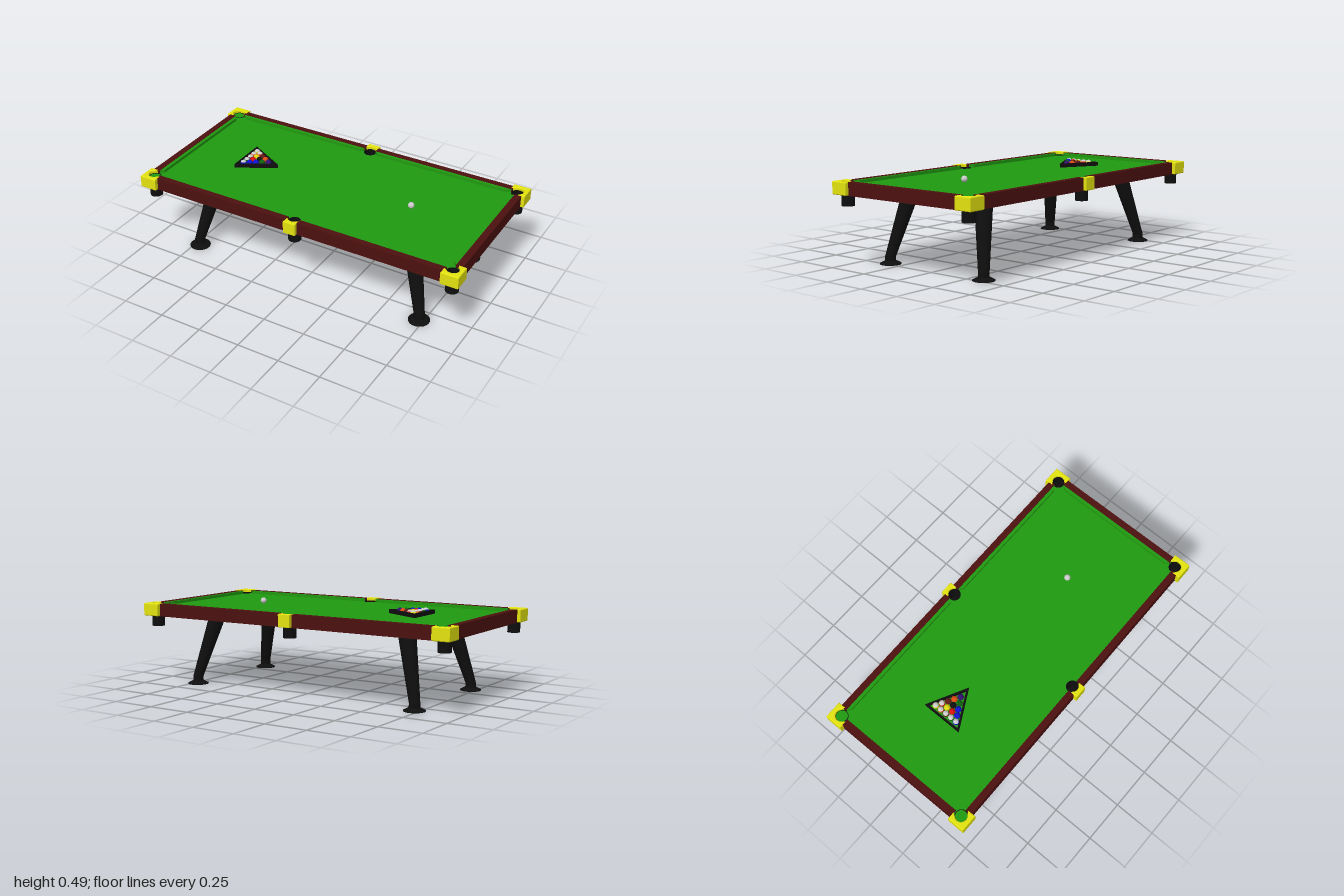
import * as THREE from 'three';

const mat = (color, side = THREE.FrontSide) => new THREE.MeshStandardMaterial({ color, side });
const red = mat(0x4d1010), green = mat(0x209a10), yellow = mat(0xe4e410);
const black = mat(0x0e0e0e), liner = mat(0x0e0e0e, THREE.DoubleSide), white = mat(0xdddddd);

const TOP = 0.475, BOTTOM = 0.4, CLOTH = 0.455;
const POCKET_R = 0.034, POCKET_Z = 0.43, POCKET_X = 0.938;
const pockets = [];
for (const x of [-POCKET_X, 0, POCKET_X]) for (const z of [-POCKET_Z, POCKET_Z]) pockets.push([x, z]);
const quadrants = [[1, 1], [-1, 1], [1, -1], [-1, -1]];

function add(parent, name, geometry, material, x = 0, y = 0, z = 0) {
  const mesh = new THREE.Mesh(geometry, material);
  mesh.name = name;
  mesh.position.set(x, y, z);
  parent.add(mesh);
  return mesh;
}

// Upright prism from an (x, z) outline between two heights, with optional rounded edges
function prism(points, y0, y1, holes = [], bevel = 0) {
  const shape = new THREE.Shape(points.map(([x, z]) => new THREE.Vector2(x, z)));
  shape.holes.push(...holes);
  const geometry = new THREE.ExtrudeGeometry(shape, {
    depth: y1 - y0 - 2 * bevel, bevelEnabled: bevel > 0, bevelSize: bevel,
    bevelThickness: bevel, bevelOffset: -bevel, bevelSegments: 3, curveSegments: 24,
  });
  return geometry.rotateX(Math.PI / 2).translate(0, y1 - bevel, 0);
}

const rectangle = (x, z) => [[-x, -z], [x, -z], [x, z], [-x, z]];
const mirror = (points, sx, sz) => points.map(([x, z]) => [x * sx, z * sz]);

// Points on the edge of a pocket between two angles
function pocketArc(x, a0, a1, n = 14) {
  return Array.from({ length: n + 1 }, (_, i) => {
    const a = a0 + (a1 - a0) * i / n;
    return [x + POCKET_R * Math.cos(a), POCKET_Z + POCKET_R * Math.sin(a)];
  });
}

// Slab with the six pocket openings
function pocketSlab(x, z, y0, y1) {
  const holes = pockets.map(([px, pz]) => new THREE.Path().absarc(px, pz, POCKET_R, 0, Math.PI * 2, true));
  return prism(rectangle(x, z), y0, y1, holes);
}

function buildTop(group) {
  add(group, 'bed', pocketSlab(0.975, 0.468, BOTTOM, 0.45), red);
  add(group, 'cloth', pocketSlab(0.97, 0.4655, 0.45, CLOTH), green);

  // Rails and cushions
  const railHeight = 0.069;
  for (const [sx, sz] of quadrants) {
    add(group, 'longRail', new THREE.BoxGeometry(0.868, railHeight, 0.038), red,
      sx * 0.469, 0.4385, sz * 0.449);
    const long = [[0.036, 0.431], [0.9, 0.431], [0.872, 0.411], [0.058, 0.411]];
    add(group, 'longCushion', prism(mirror(long, sx, sz), 0.453, 0.4725), green);
  }
  for (const s of [-1, 1]) {
    add(group, 'endRail', new THREE.BoxGeometry(0.04, railHeight, 0.78), red, s * 0.955, 0.4385, 0);
    const end = [[0.936, -0.39], [0.936, 0.39], [0.916, 0.365], [0.916, -0.365]];
    add(group, 'endCushion', prism(mirror(end, s, 1), 0.453, 0.4725), green);
  }

  // Corner and side castings wrapped around the pockets
  const corner = [[0.893, 0.44], [0.893, 0.49], [0.995, 0.49], [0.995, 0.387], [0.948, 0.387],
    ...pocketArc(POCKET_X, -Math.PI / 4, Math.PI * 0.75)];
  for (const [sx, sz] of quadrants) {
    add(group, 'cornerCasting', prism(mirror(corner, sx, sz), 0.401, TOP, [], 0.006), yellow);
  }
  const a = Math.asin(0.018 / POCKET_R);
  const side = [[-0.037, 0.448], [-0.037, 0.49], [0.037, 0.49], [0.037, 0.448],
    ...pocketArc(0, a, Math.PI - a)];
  for (const s of [-1, 1]) {
    add(group, 'sideCasting', prism(mirror(side, 1, s), 0.401, TOP, [], 0.004), yellow);
  }

  // Pocket cups, open at the top
  const profile = [[0, 0.345], [0.033, 0.345], [0.033, 0.458], [0.036, 0.458], [0.036, 0.34], [0, 0.34]]
    .map(([r, y]) => new THREE.Vector2(r, y));
  for (const [x, z] of pockets) {
    const cup = new THREE.LatheGeometry(profile, 28).toNonIndexed();
    cup.computeVertexNormals();
    add(group, 'pocketCup', cup, liner, x, 0, z);
  }
}

// Splayed tapered leg on a flared foot
function buildLeg(sx, sz) {
  const leg = new THREE.Group();
  leg.name = 'leg';
  const footX = 0.722 * sx, footZ = 0.337 * sz, height = 0.36;
  const shear = new THREE.Matrix4().set(
    1, -0.092 * sx / height, 0, 0,
    0, 1, 0, 0,
    0, -0.077 * sz / height, 1, 0,
    0, 0, 0, 1);
  const shaft = new THREE.CylinderGeometry(0.05, 0.03, height, 24).translate(0, height / 2, 0).applyMatrix4(shear);
  add(leg, 'legShaft', shaft, black, footX, 0.043, footZ);
  add(leg, 'legNeck', new THREE.CylinderGeometry(0.03, 0.03, 0.03, 24), black, footX, 0.03, footZ);
  add(leg, 'foot', new THREE.CylinderGeometry(0.03, 0.06, 0.016, 28), black, footX, 0.012, footZ);
  add(leg, 'footPad', new THREE.CylinderGeometry(0.06, 0.06, 0.004, 28), black, footX, 0.002, footZ);
  return leg;
}

// Plain ball, or a white ball with a coloured band
function buildBall(name, color, striped, x, z) {
  const ball = new THREE.Group(), r = 0.018;
  ball.name = name;
  const zone = (t0, t1, m) => add(ball, 'ballSurface',
    new THREE.SphereGeometry(r, 20, 10, 0, Math.PI * 2, t0, t1 - t0), m);
  if (striped) {
    zone(0, 1.05, white);
    zone(1.05, 2.09, mat(color));
    zone(2.09, Math.PI, white);
  } else zone(0, Math.PI, mat(color));
  ball.position.set(x, CLOTH + r, z);
  return ball;
}

function buildBalls(group) {
  const Y = 0xe0d810, B = 0x1010d0, R = 0xd81010, P = 0x301070, O = 0xe04a10, G = 0x106010, M = 0x601818, K = 0x101010;
  // Rows from the tip of the rack to its base; true marks a striped ball
  const rows = [
    [[P]],
    [[O], [G]],
    [[M], [K], [B]],
    [[R, true], [Y], [R], [B]],
    [[Y, true], [O, true], [M, true], [G, true], [B, true]],
  ];
  rows.forEach((row, i) => row.forEach(([color, striped], j) => {
    group.add(buildBall('rackedBall', color, striped, -0.443 - i * 0.031, (j - i / 2) * 0.0365));
  }));
  group.add(buildBall('cueBall', 0xdddddd, false, 0.487, 0));

  // Triangular rack
  const hole = new THREE.Path([[-0.396, 0], [-0.59, 0.103], [-0.59, -0.103]].map(([x, z]) => new THREE.Vector2(x, z)));
  add(group, 'rack', prism([[-0.375, 0], [-0.6, -0.12], [-0.6, 0.12]], CLOTH, 0.478, [hole]), black);
}

export function createModel() {
  const table = new THREE.Group();
  table.name = 'poolTable';
  buildTop(table);
  for (const [sx, sz] of quadrants) table.add(buildLeg(sx, sz));
  buildBalls(table);
  // The table stands very slightly turned
  table.rotation.y = 0.008;
  const model = new THREE.Group();
  model.name = 'model';
  model.add(table);
  return model;
}
